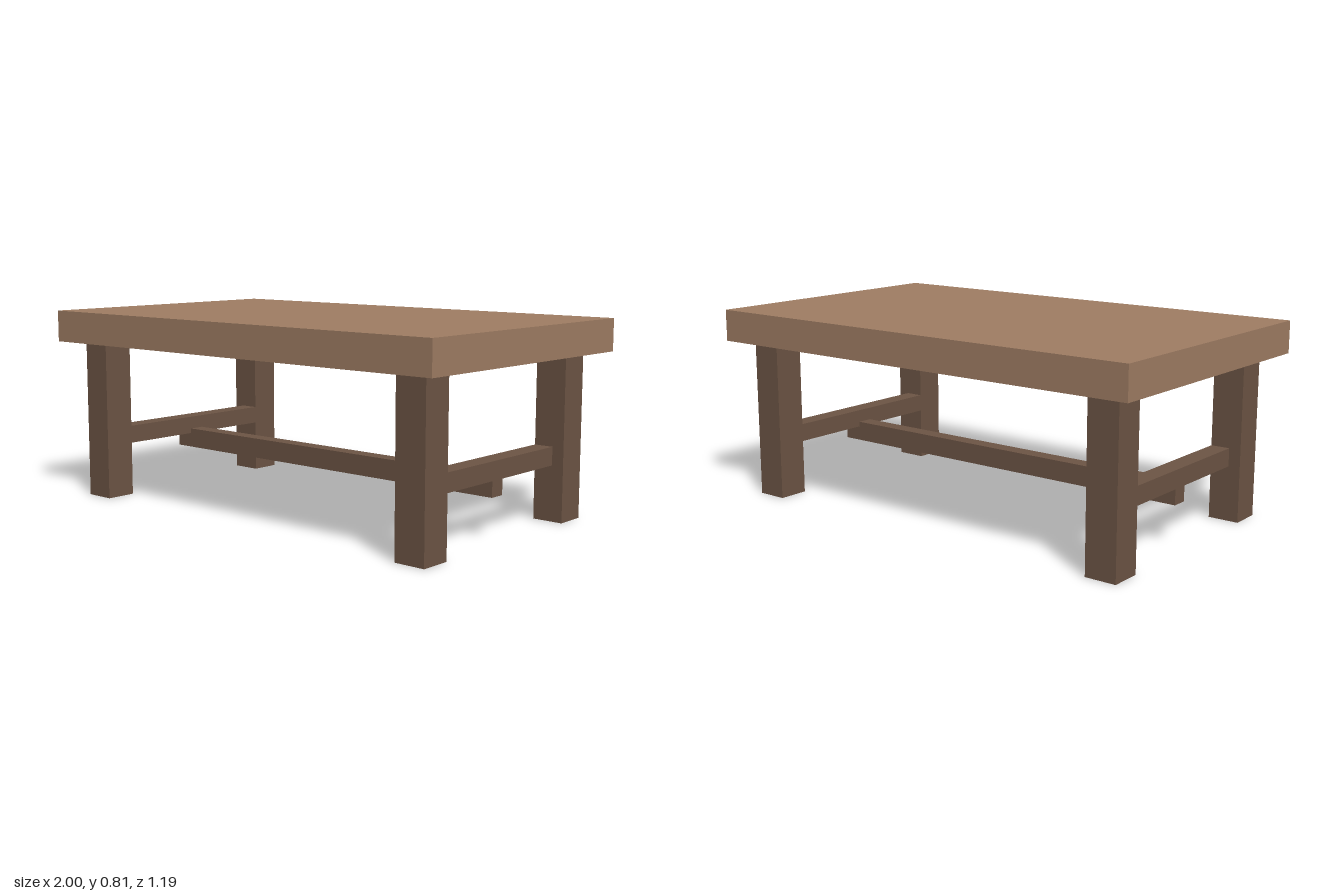
import * as THREE from 'three';

export function createModel() {
  const model = new THREE.Group();
  model.name = 'table';
  const lightWood = new THREE.MeshStandardMaterial({ name: 'lightWood', color: 0xa07e64 });
  const darkWood = new THREE.MeshStandardMaterial({ name: 'darkWood', color: 0x6d5545 });

  // Box placed by its centre in x and z and by its bottom and top in y
  function beam(name, material, width, depth, bottom, top, x = 0, z = 0) {
    const mesh = new THREE.Mesh(new THREE.BoxGeometry(width, top - bottom, depth), material);
    mesh.name = name;
    mesh.position.set(x, (bottom + top) / 2, z);
    model.add(mesh);
  }

  // Thick slab top
  beam('tableTop', lightWood, 2, 1.19, 0.673, 0.805);

  for (const side of [1, -1]) {
    const sideName = side > 0 ? 'left' : 'right';
    // Square legs
    for (const end of [1, -1]) {
      beam(`${sideName}${end > 0 ? 'Front' : 'Back'}Leg`, darkWood, 0.13, 0.13, 0, 0.673, side * 0.85, end * 0.448);
    }
    // Cross rail between the legs, flush with their inner faces
    beam(`${sideName}CrossRail`, darkWood, 0.08, 0.766, 0.227, 0.302, side * 0.825, 0);
  }

  // Long stretcher notched into the underside of the cross rails
  beam('stretcher', darkWood, 1.73, 0.067, 0.164, 0.248);

  return model;
}
